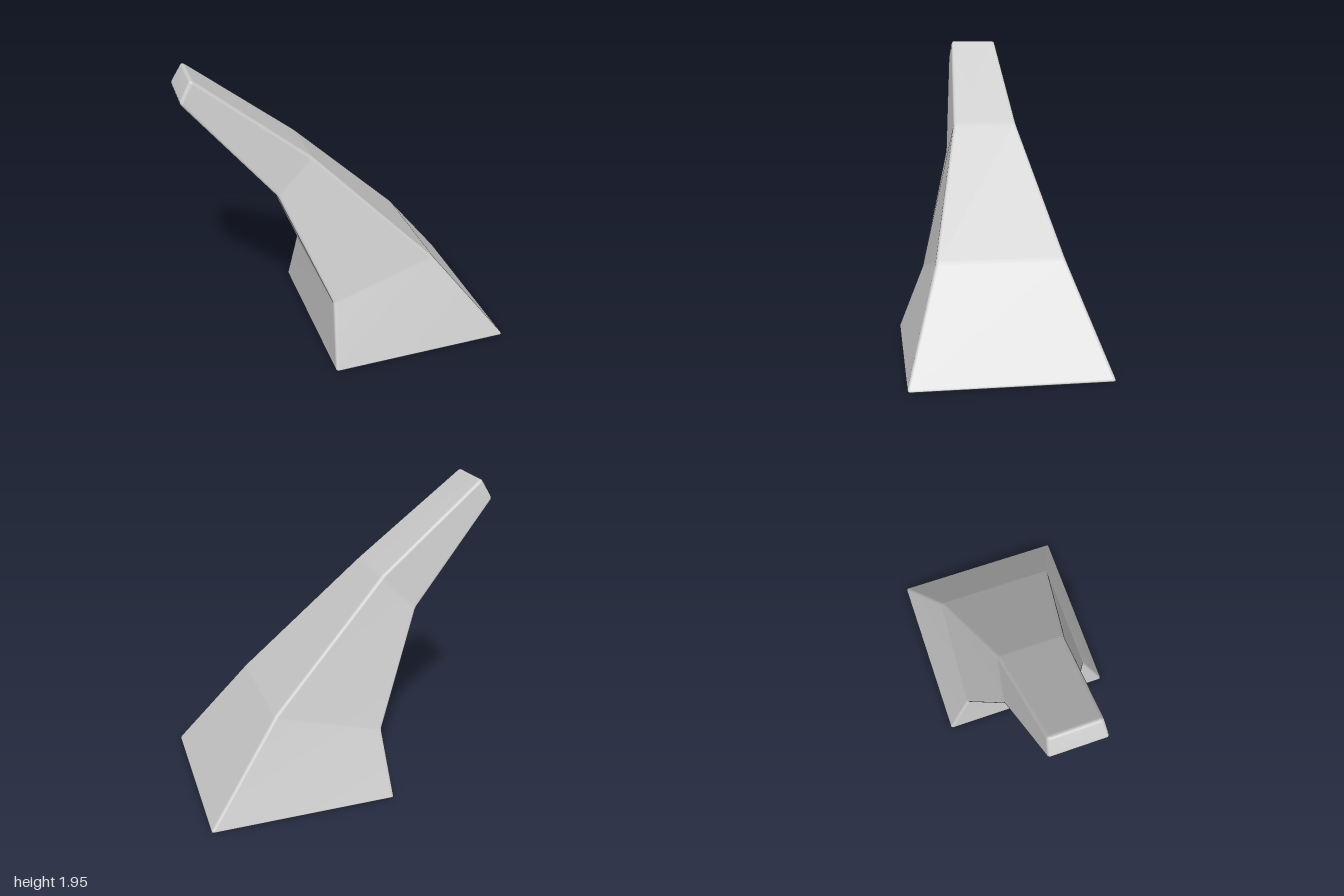
import * as THREE from 'three';

// Cross-sections from base to tip: inner edge (x, y, half width), outer edge (x, y, half width)
const SECTIONS = [
  [-0.21, 0.0, 0.605, 1.005, 0.0, 0.605],
  [-0.175, 0.43, 0.44, 0.53, 0.62, 0.4],
  [-0.468, 1.17, 0.25, -0.235, 1.395, 0.213],
  [-1.003, 1.83, 0.176, -0.925, 1.963, 0.16],
];
const BEVEL = 0.022;
const STEPS = 4;

const mix = (a, b, t) => a.map((v, i) => v + (b[i] - v) * t);

// Pull a section in on all four sides within its own plane
function inset([ix, iy, iw, ox, oy, ow], d) {
  const k = d / Math.hypot(ox - ix, oy - iy);
  const [dx, dy] = [(ox - ix) * k, (oy - iy) * k];
  return [ix + dx, iy + dy, iw - d, ox - dx, oy - dy, ow - d];
}

// Point along a quadratic curve through three sections
const bend = (a, b, c, t) => mix(mix(a, b, t), mix(b, c, t), t);

// Four-sided ring with rounded corners
function ring([ix, iy, iw, ox, oy, ow], r) {
  const corners = [[ix, iy, iw], [ox, oy, ow], [ox, oy, -ow], [ix, iy, -iw]]
    .map((c) => new THREE.Vector3(...c));
  return corners.flatMap((p, i) => {
    const toward = (q) => p.clone().add(q.clone().sub(p).setLength(r));
    const a = toward(corners[(i + 3) % 4]);
    const b = toward(corners[(i + 1) % 4]);
    return new THREE.QuadraticBezierCurve3(a, p, b).getPoints(STEPS);
  });
}

// Rings rolling from the flat end of the body round its rim onto the sides
function endRings(end, next) {
  const side = mix(end, next, 0.03);
  const cap = inset(end, BEVEL);
  return [0, 0.25, 0.5, 0.75, 1].map((t) => ring(bend(cap, end, side, t), BEVEL * (0.4 + 0.6 * t)));
}

function buildBody() {
  const [base, low, high, tip] = SECTIONS;
  const rings = [...endRings(base, low)];
  // Paired rings keep each bend narrow and the panels between them flat
  for (let i = 1; i < 3; i++) {
    rings.push(ring(mix(SECTIONS[i], SECTIONS[i - 1], 0.015), BEVEL));
    rings.push(ring(mix(SECTIONS[i], SECTIONS[i + 1], 0.015), BEVEL));
  }
  rings.push(...endRings(tip, high).reverse());

  const n = rings[0].length;
  const points = rings.flat();
  const index = [];
  for (let r = 0; r < rings.length - 1; r++) {
    for (let j = 0; j < n; j++) {
      const a = r * n + j, b = r * n + (j + 1) % n;
      index.push(a, b, b + n, a, b + n, a + n);
    }
  }

  // Flat base and tip
  const middle = (loop) => loop.reduce((s, p) => s.add(p), new THREE.Vector3()).divideScalar(n);
  const bottom = points.length, top = bottom + 1, last = (rings.length - 1) * n;
  points.push(middle(rings[0]), middle(rings[rings.length - 1]));
  for (let j = 0; j < n; j++) {
    const k = (j + 1) % n;
    index.push(bottom, k, j, top, last + j, last + k);
  }

  const geometry = new THREE.BufferGeometry().setFromPoints(points);
  geometry.setIndex(index);
  geometry.computeVertexNormals();
  return geometry;
}

export function createModel() {
  const group = new THREE.Group();
  group.name = 'curvedSpike';
  const body = new THREE.Mesh(buildBody(), new THREE.MeshStandardMaterial({ color: 0xcccccc }));
  body.name = 'spikeBody';
  group.add(body);
  return group;
}
